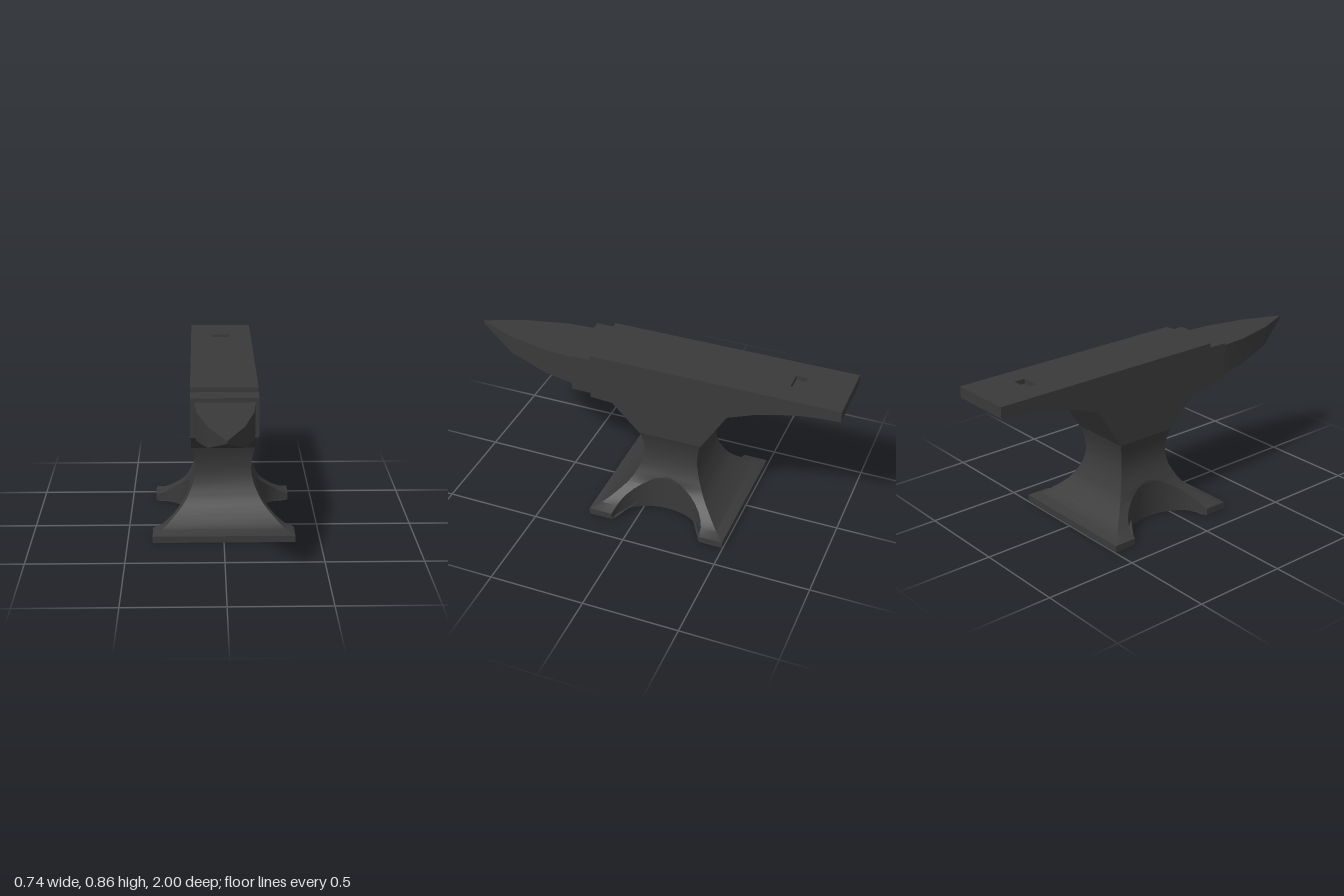
import * as THREE from 'three';
import { toCreasedNormals } from 'three/addons/utils/BufferGeometryUtils.js';

const iron = new THREE.MeshStandardMaterial({ color: 0x3a3a3a });
iron.name = 'dark iron';

// Skin closed rings of points, each counter-clockwise as seen from the end of the loft
function loft(rings, crease) {
  const n = rings[0].length, index = [];
  for (let r = 0; r < rings.length - 1; r++) {
    for (let i = 0; i < n; i++) {
      const j = (i + 1) % n;
      const a = r * n + i, b = r * n + j, c = b + n, d = a + n;
      index.push(a, b, c, a, c, d);
    }
  }
  const geo = new THREE.BufferGeometry();
  geo.setAttribute('position', new THREE.Float32BufferAttribute(rings.flat(2), 3));
  geo.setIndex(index);
  return toCreasedNormals(geo, crease);
}

function part(group, name, geometry) {
  const mesh = new THREE.Mesh(geometry, iron);
  mesh.name = name;
  group.add(mesh);
  return mesh;
}

const HALF = 0.169;      // half width of the body
const CENTRE_Z = -0.125; // middle of the foot

// Square flared foot with a scooped notch in each side and a hollow underside
function footGeometry() {
  const profile = [ // [half width, height]
    [0.37, 0], [0.37, 0.035], [0.32, 0.055], [0.288, 0.078], [0.262, 0.1], [0.235, 0.125],
    [0.212, 0.15], [0.195, 0.175], [0.187, 0.19], [0.181, 0.203], [0.175, 0.215], [0.16, 0.25],
    [0.148, 0.3], [0.146, 0.34], [0.152, 0.395], [0.161, 0.43], [HALF, 0.455],
  ];
  const reach = 0.245, depth = 0.19, steps = 16;
  const ring = (h, y) => {
    const q = (0.37 - h) / depth;
    const edge = Math.max(0.004, reach * Math.sqrt(Math.max(0, 1 - q * q)));
    const side = [[h, h]];
    for (let i = 0; i <= steps; i++) {
      const z = edge * Math.cos((i / steps) * Math.PI);
      const notch = 0.37 - depth * Math.sqrt(Math.max(0, 1 - (z / reach) ** 2));
      side.push([Math.min(h, notch), z]);
    }
    side.push([h, -h]);
    return [...side, ...side.map(([x, z]) => [-x, -z])].map(([x, z]) => [x, y, z + CENTRE_Z]);
  };
  const rows = profile.map(([h, y]) => ring(h, y));
  const rim = rows[0].map(([x, y, z]) => [x * 0.93, 0, (z - CENTRE_Z) * 0.93 + CENTRE_Z]);
  const hollowTop = rim.map(() => [0, 0.12, CENTRE_Z]);
  return loft([hollowTop, rim, ...rows], 0.6);
}

// Side profile of the body and heel, extruded across the width
function bodyGeometry() {
  const points = [ // [z, height]
    [0.043, 0.45], [0.19, 0.597], [0.31, 0.605], [0.31, 0.83], [-1, 0.83], [-1, 0.797],
    [-0.9, 0.791], [-0.8, 0.78], [-0.7, 0.76], [-0.57, 0.725], [-0.43, 0.67], [-0.294, 0.45],
  ];
  const shape = new THREE.Shape(points.map(([z, y]) => new THREE.Vector2(-z, y)));
  const geo = new THREE.ExtrudeGeometry(shape, { depth: 2 * HALF, bevelEnabled: false });
  geo.translate(0, 0, -HALF).rotateY(Math.PI / 2);
  return toCreasedNormals(geo, 0.3);
}

// Flat working face with the square tool hole
function faceGeometry() {
  const rect = (Type, x, y0, y1) => new Type([[-x, y0], [x, y0], [x, y1], [-x, y1]]
    .map(([a, b]) => new THREE.Vector2(a, b)));
  const shape = rect(THREE.Shape, HALF, -0.31, 1);
  shape.holes.push(rect(THREE.Path, 0.05, 0.71, 0.77));
  const geo = new THREE.ExtrudeGeometry(shape, { depth: 0.025, bevelEnabled: false });
  return geo.rotateX(-Math.PI / 2).translate(0, 0.83, 0);
}

// Flat-topped horn tapering to a point
function hornGeometry() {
  const stations = [ // [z, half width, underside height]
    [0.41, 0.15, 0.648], [0.575, 0.138, 0.667], [0.8, 0.085, 0.708], [0.9, 0.043, 0.752], [1, 0.002, 0.795],
  ];
  const rings = stations.map(([z, w, low]) => [[w, low, z], [w, 0.81, z], [-w, 0.81, z], [-w, low, z]]);
  rings.push(rings[rings.length - 1].map(() => [0, 0.803, 1]));
  return loft(rings, 0.6);
}

export function createModel() {
  const group = new THREE.Group();
  group.name = 'anvil';
  part(group, 'foot', footGeometry());
  part(group, 'body', bodyGeometry());
  part(group, 'workingFace', faceGeometry());
  part(group, 'hornStep', new THREE.BoxGeometry(2 * HALF, 0.202, 0.125)).position.set(0, 0.73, 0.3525);
  part(group, 'horn', hornGeometry());
  return group;
}
